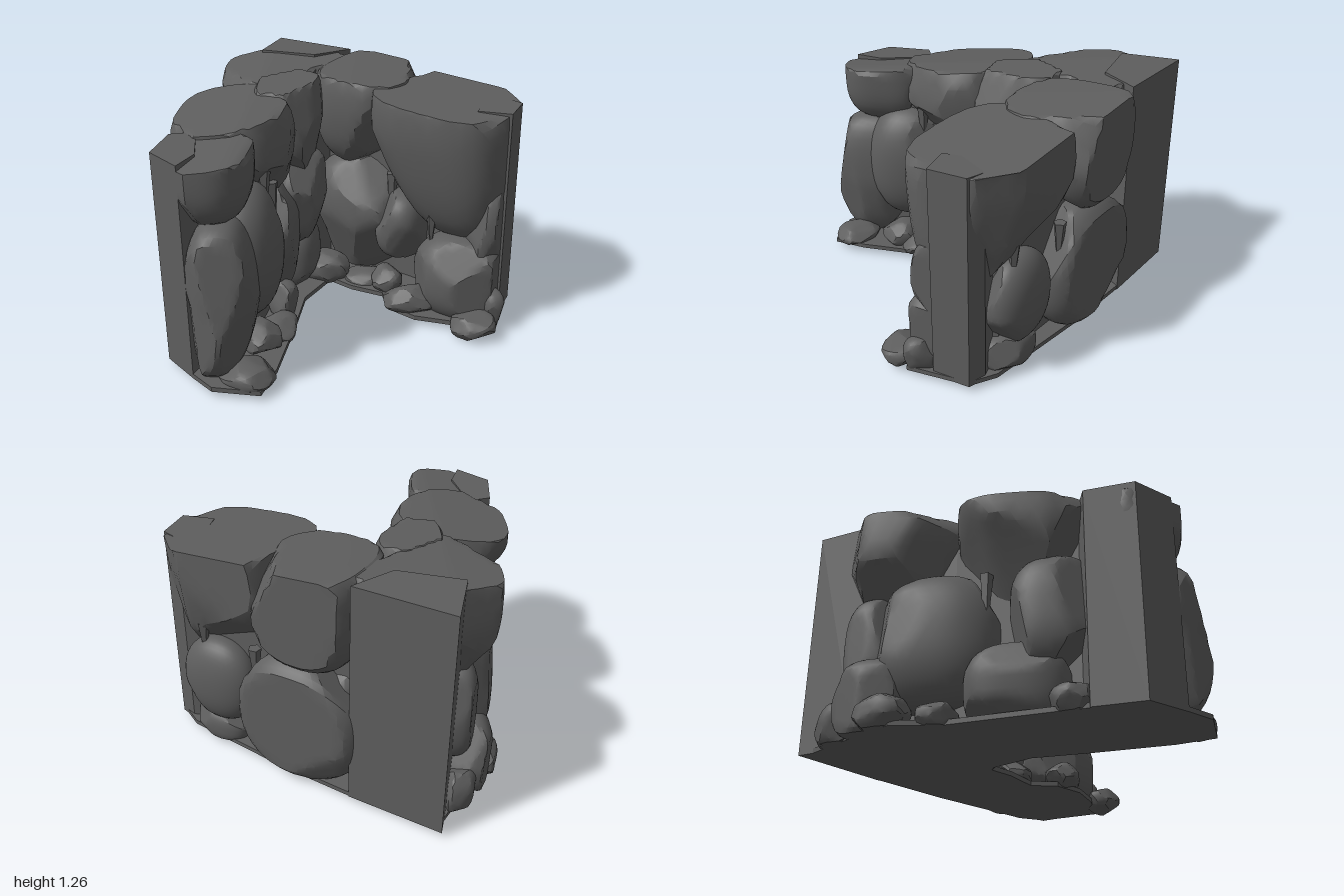
import * as THREE from 'three';
import { toCreasedNormals } from 'three/addons/utils/BufferGeometryUtils.js';

const FLOOR = 0.03;
const WALL_YAW = -0.506; // direction of the right-hand wall
const stone = new THREE.MeshStandardMaterial({ color: 0x5e5e5e });
stone.name = 'dark grey stone';

// The wall top slopes gently down towards both ends and the outer left side
const topY = (x, z) => 1.21 - 0.06 * z - 0.05 * Math.max(x, 0) - 0.12 * Math.max(-x - 0.5, 0);

function seeded(seed) {
  let s = seed * 7919 + 17;
  return () => {
    s = (s * 16807) % 2147483647;
    return s / 2147483647;
  };
}

// Cutting planes for the straight back and the chamfered ends: [nx, nz, distance]
const BACK = [0.485, -0.875, 0.625];
const BACK_BULGE = [0.485, -0.875, 0.675];
const LEFT_END = [-0.707, 0.707, 1.117];
const RIGHT_END = [0.938, 0.346, 0.812];

// Rounded, chiselled stone, cut off at the ground and at the wall top.
// toe shifts the lower tip sideways, taper narrows it
function boulder(name, [x, y, z], [rx, ry, rz], seed, { yaw = 0, roll = 0, power = 2.7, cuts = 11, planes = [], floor = FLOOR, lift = 0, toe = [0, 0], taper = 0, detail = 7 } = {}) {
  const rand = seeded(seed);
  for (let i = 0; i < 5; i++) rand();
  const chisels = [];
  for (let i = 0; i < cuts; i++) {
    const n = new THREE.Vector3(rand() - 0.5, (rand() - 0.5) * 0.9, rand() - 0.5).normalize();
    chisels.push([n, 0.83 + rand() * 0.14]);
  }
  const geo = new THREE.IcosahedronGeometry(1, detail);
  const pos = geo.attributes.position;
  const turn = new THREE.Euler(0, yaw, roll, 'YXZ');
  const v = new THREE.Vector3();
  for (let i = 0; i < pos.count; i++) {
    v.fromBufferAttribute(pos, i).normalize();
    const sum = Math.abs(v.x) ** power + Math.abs(v.y) ** power + Math.abs(v.z) ** power;
    v.multiplyScalar(sum ** (-1 / power));
    for (const [n, d] of chisels) {
      const over = v.dot(n) - d;
      if (over > 0) v.addScaledVector(n, -over);
    }
    const depth = Math.max(0, -v.y);
    const narrow = 1 - taper * depth;
    v.set(v.x * rx * narrow, v.y * ry, v.z * rz * narrow).applyEuler(turn);
    v.x += x + toe[0] * depth; v.y += y; v.z += z + toe[1] * depth;
    for (const [nx, nz, d] of planes) {
      const over = v.x * nx + v.z * nz - d;
      if (over > 0) { v.x -= nx * over; v.z -= nz * over; }
    }
    v.y = Math.max(floor, Math.min(v.y, topY(v.x, v.z) + lift));
    pos.setXYZ(i, v.x, v.y, v.z);
  }
  const mesh = new THREE.Mesh(toCreasedNormals(geo, 0.42), stone);
  mesh.name = name;
  return mesh;
}

// Upright prism over a ground outline of [x, z] points
function prism(name, outline, y0, y1) {
  const shape = new THREE.Shape(outline.map(([x, z]) => new THREE.Vector2(x, -z)));
  const geo = new THREE.ExtrudeGeometry(shape, { depth: y1 - y0, bevelEnabled: false });
  geo.rotateX(-Math.PI / 2).translate(0, y0, 0);
  const mesh = new THREE.Mesh(geo, stone);
  mesh.name = name;
  return mesh;
}

export function createModel() {
  const model = new THREE.Group();
  model.name = 'rockWallCorner';
  const wall = { yaw: WALL_YAW };

  // Recessed core and irregular ground skirt
  model.add(
    prism('wallCore', [[-0.74, 0.62], [-0.5, 0.72], [-0.44, 0.3], [-0.38, -0.2], [-0.15, -0.42], [0.25, -0.24], [0.7, 0.05], [0.7, -0.15], [0.2, -0.46], [-0.2, -0.68], [-0.55, -0.72], [-0.64, -0.2]], FLOOR, 1.1),
    prism('groundSkirt', [[-0.86, 0.71], [-0.71, 0.87], [-0.6, 0.97], [-0.36, 0.99], [-0.31, 0.8], [-0.27, 0.4], [-0.25, 0.1], [-0.13, -0.14], [0, -0.05], [0.18, 0.02], [0.22, 0.16], [0.36, 0.26], [0.55, 0.3], [0.8, 0.3], [0.88, -0.03], [0.8, -0.16], [0.3, -0.52], [-0.05, -0.74], [-0.48, -0.98], [-0.72, -0.6], [-0.8, -0.45], [-0.76, -0.2], [-0.82, 0.3]], FLOOR, 0.055)
  );

  // Flat-cut blocks at the corner and both ends
  model.add(
    prism('cornerBlock', [[-0.5, -1], [-0.57, -0.69], [-0.25, -0.6], [-0.05, -0.745]], FLOOR, 1.265),
    prism('leftEndBlock', [[-0.87, 0.71], [-0.71, 0.87], [-0.66, 0.72], [-0.72, 0.42], [-0.845, 0.46]], FLOOR, 1.14),
    prism('rightEndBlock', [[0.89, -0.03], [0.82, 0.16], [0.65, 0.12], [0.7, -0.12], [0.82, -0.1]], FLOOR, 1.175)
  );

  // Upper course
  const upper = new THREE.Group();
  upper.name = 'upperBoulders';
  upper.add(
    boulder('leftEndCap', [-0.64, 1.08, 0.66], [0.23, 0.27, 0.25], 3, { power: 3, planes: [LEFT_END], lift: -0.02 }),
    boulder('leftMiddleCap', [-0.58, 1.05, 0.17], [0.3, 0.45, 0.36], 8, { power: 3.3, lift: -0.005, taper: 0.15 }),
    boulder('innerCap', [-0.35, 1.02, -0.17], [0.18, 0.33, 0.28], 12, { power: 3, lift: 0.01 }),
    boulder('leftBackCap', [-0.48, 1.05, -0.48], [0.28, 0.42, 0.33], 21, { power: 3, lift: 0.005, taper: 0.1 }),
    boulder('cornerCap', [-0.24, 1.1, -0.6], [0.2, 0.35, 0.2], 5, { ...wall, power: 3.5, planes: [BACK], lift: 0.005 }),
    boulder('rightInnerCap', [0.1, 1.04, -0.44], [0.29, 0.35, 0.33], 31, { ...wall, power: 2.9, cuts: 5, planes: [BACK_BULGE], lift: 0.01, taper: 0.1 }),
    boulder('rightOuterCap', [0.52, 1.02, -0.1], [0.39, 0.58, 0.35], 44, { ...wall, power: 3, cuts: 7, planes: [BACK, RIGHT_END], toe: [0.1, 0.1], taper: 0.35 })
  );
  model.add(upper);

  // Lower course
  const lower = new THREE.Group();
  lower.name = 'lowerBoulders';
  lower.add(
    boulder('leftEndBoulder', [-0.56, 0.43, 0.74], [0.17, 0.41, 0.26], 51, { planes: [LEFT_END], toe: [-0.06, 0] }),
    boulder('leftInnerBoulder', [-0.5, 0.57, 0.52], [0.2, 0.35, 0.25], 52, { power: 2.3, cuts: 6 }),
    boulder('leftMiddleBoulder', [-0.45, 0.4, 0.15], [0.18, 0.37, 0.2], 53, { roll: -0.15 }),
    boulder('innerCornerBoulder', [-0.31, 0.57, -0.1], [0.15, 0.3, 0.22], 54, { roll: -0.3 }),
    boulder('innerFootBoulder', [-0.34, 0.22, -0.16], [0.15, 0.22, 0.18], 55),
    boulder('rightInnerBoulder', [0.06, 0.4, -0.38], [0.31, 0.36, 0.24], 56, { ...wall }),
    boulder('rightBackBoulder', [0.18, 0.39, -0.52], [0.36, 0.37, 0.2], 57, { ...wall, power: 2.3, cuts: 5, planes: [BACK_BULGE] }),
    boulder('rightMiddleBoulder', [0.29, 0.41, -0.17], [0.14, 0.2, 0.17], 58, { ...wall }),
    boulder('rightFrontBoulder', [0.6, 0.24, 0.12], [0.26, 0.24, 0.2], 59, { ...wall, power: 2.4, planes: [RIGHT_END] }),
    boulder('rightEndBoulder', [0.73, 0.53, 0.09], [0.12, 0.26, 0.18], 60, { planes: [RIGHT_END] }),
    boulder('rightOuterBackBoulder', [0.62, 0.41, -0.23], [0.22, 0.25, 0.13], 61, { ...wall, power: 2.2, cuts: 5 }),
    boulder('rightBackFootBoulder', [0.63, 0.1, -0.18], [0.18, 0.11, 0.12], 62, { ...wall, planes: [BACK] }),
    boulder('leftOuterBoulder', [-0.62, 0.5, -0.29], [0.18, 0.36, 0.33], 63, { power: 2.4, cuts: 6 }),
    boulder('leftOuterBackBoulder', [-0.57, 0.52, -0.62], [0.11, 0.28, 0.15], 64),
    boulder('leftOuterFootBoulder', [-0.65, 0.2, -0.57], [0.14, 0.22, 0.2], 65),
    boulder('leftOuterLowBoulder', [-0.69, 0.2, 0.12], [0.14, 0.22, 0.25], 66, { roll: 0.1 }),
    boulder('leftOuterMiddleBoulder', [-0.7, 0.55, 0.3], [0.16, 0.3, 0.22], 67)
  );
  model.add(lower);

  // Loose stones along the foot: centre, radii
  const loose = new THREE.Group();
  loose.name = 'looseStones';
  [
    [-0.15, 0.11, -0.17, 0.13, 0.1, 0.1], [0.33, 0.11, 0.17, 0.14, 0.08, 0.09],
    [-0.42, 0.1, 0.58, 0.1, 0.08, 0.12], [-0.44, 0.07, 0.86, 0.14, 0.06, 0.12],
    [-0.35, 0.07, 0.44, 0.1, 0.06, 0.12], [-0.35, 0.12, 0.24, 0.08, 0.12, 0.1],
    [0.08, 0.06, -0.15, 0.12, 0.05, 0.1], [0.2, 0.09, -0.08, 0.09, 0.08, 0.1],
    [0.77, 0.12, 0.23, 0.06, 0.1, 0.09], [-0.6, 0.12, -0.78, 0.08, 0.12, 0.12],
    [-0.75, 0.1, -0.5, 0.09, 0.1, 0.14], [-0.74, 0.08, -0.24, 0.06, 0.07, 0.1],
    [-0.78, 0.09, 0.38, 0.09, 0.08, 0.1]
  ].forEach(([x, y, z, a, b, c], i) => {
    loose.add(boulder('looseStone', [x, y, z], [a, b, c], 80 + i, { cuts: 16, detail: 4, yaw: (i % 3 - 1) * 0.4, power: 2.8 }));
  });
  loose.add(boulder('frontStone', [0.67, 0.065, 0.35], [0.12, 0.07, 0.1], 99, { cuts: 14, detail: 4, floor: 0 }));
  model.add(loose);

  // Narrow shards wedged in the joints: x, z, top, length
  const shards = new THREE.Group();
  shards.name = 'jointShards';
  [
    [-0.4, 0.42, 0.95, 0.3], [-0.38, 0.33, 0.85, 0.5], [-0.35, 0.02, 0.8, 0.5], [-0.24, -0.2, 0.8, 0.45],
    [0.22, -0.2, 0.7, 0.45], [0.44, 0.1, 0.62, 0.25], [0.42, -0.42, 0.72, 0.3], [0.7, -0.22, 0.75, 0.25],
    [-0.72, -0.03, 0.8, 0.4], [-0.67, -0.45, 0.75, 0.4]
  ].forEach(([x, z, top, len], i) => {
    const cone = new THREE.ConeGeometry(0.035, len, 5).toNonIndexed();
    cone.computeVertexNormals();
    const shard = new THREE.Mesh(cone, stone);
    shard.name = 'shard';
    shard.position.set(x, top - len / 2, z);
    shard.rotation.set(Math.PI, i, 0);
    shards.add(shard);
  });
  model.add(shards);
  return model;
}
